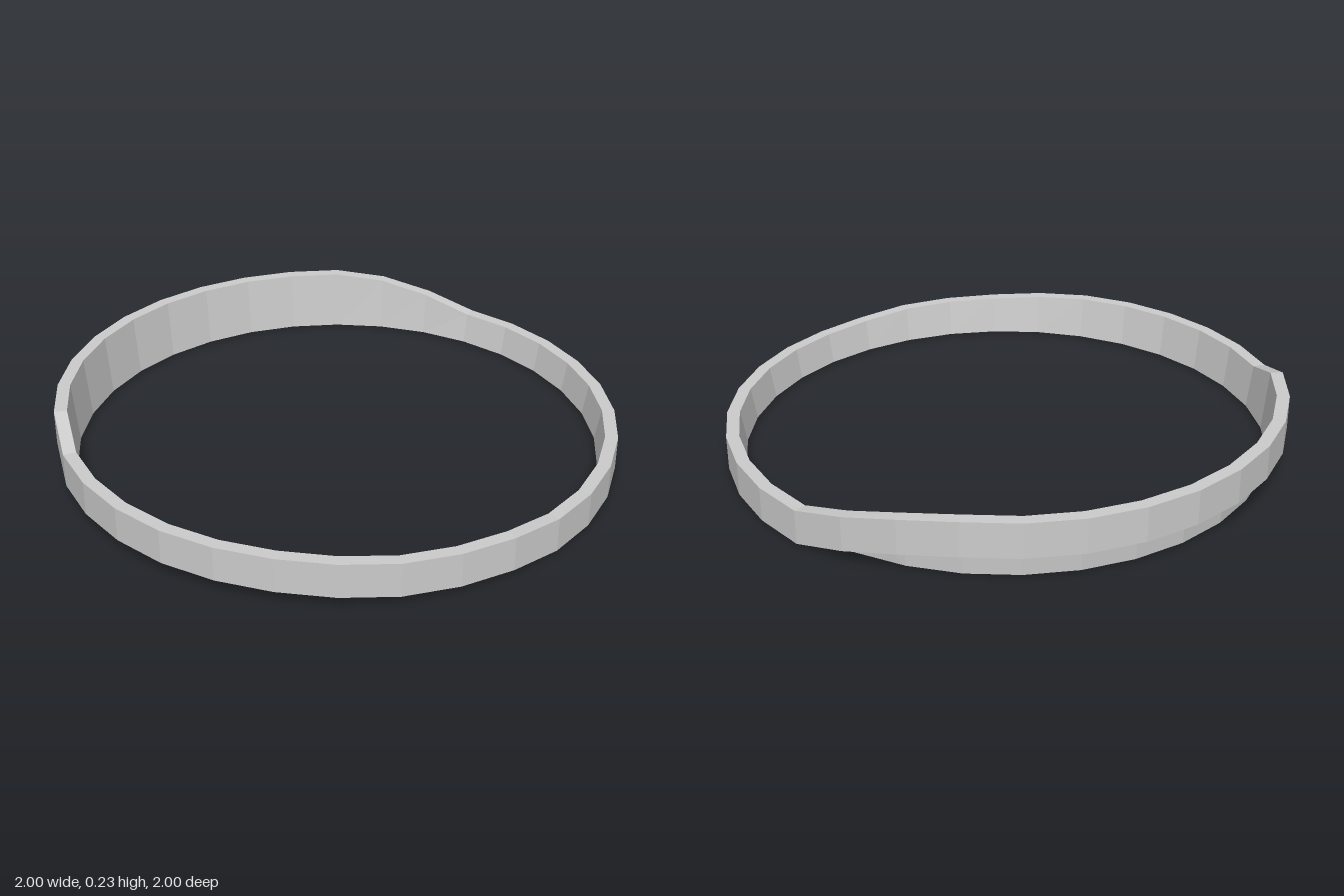
import * as THREE from 'three';

const SIDES = 32;
const BAND_HEIGHT = 0.12;
const material = new THREE.MeshStandardMaterial({
  color: 0xcccccc, flatShading: true, side: THREE.DoubleSide,
});

// Rim height at each side, as [first side, height]; side 0 is the front, going toward +x
const RIM_KEYS = [
  [0, 0.146], [1, 0.141], [2, 0.128], [3, 0.124], [11, 0.124], [12, 0.17], [13, 0.21],
  [14, 0.23], [23, 0.23], [24, 0.17], [28, 0.17], [29, 0.168], [30, 0.16], [31, 0.15], [32, 0.146],
];

function rimHeight(k) {
  const i = RIM_KEYS.findIndex((key) => key[0] >= k);
  const [k1, h1] = RIM_KEYS[i];
  if (k1 === k) return h1;
  const [k0, h0] = RIM_KEYS[i - 1];
  return THREE.MathUtils.lerp(h0, h1, (k - k0) / (k1 - k0));
}

// Closed strip between two loops; each loop gives [radius, height] at a side.
// Seen from outside, the first loop is the lower one.
function strip(name, lower, upper) {
  const positions = [];
  const index = [];
  for (let k = 0; k <= SIDES; k++) {
    const a = (k / SIDES) * Math.PI * 2;
    for (const loop of [lower, upper]) {
      const [r, y] = loop(k);
      positions.push(r * Math.sin(a), y, r * Math.cos(a));
    }
    if (k < SIDES) {
      const i = k * 2;
      index.push(i, i + 2, i + 3, i, i + 3, i + 1);
    }
  }
  const geometry = new THREE.BufferGeometry();
  geometry.setAttribute('position', new THREE.Float32BufferAttribute(positions, 3));
  geometry.setIndex(index);
  geometry.computeVertexNormals();
  const mesh = new THREE.Mesh(geometry, material);
  mesh.name = name;
  return mesh;
}

export function createModel() {
  const group = new THREE.Group();
  group.name = 'ring';

  const outerBottom = (k) => [1, rimHeight(k) - BAND_HEIGHT - 0.003];
  const outerTop = (k) => [1, rimHeight(k)];
  const innerTop = (k) => [0.955, rimHeight(k)];
  const innerBottom = () => [0.936, 0.008];

  // Outer band follows the rim at a constant height
  group.add(strip('outerBand', outerBottom, outerTop));
  // Flat top edge
  group.add(strip('topRim', outerTop, innerTop));
  // Tapered inner wall reaching down below the raised band
  group.add(strip('innerWall', innerTop, innerBottom));
  return group;
}
